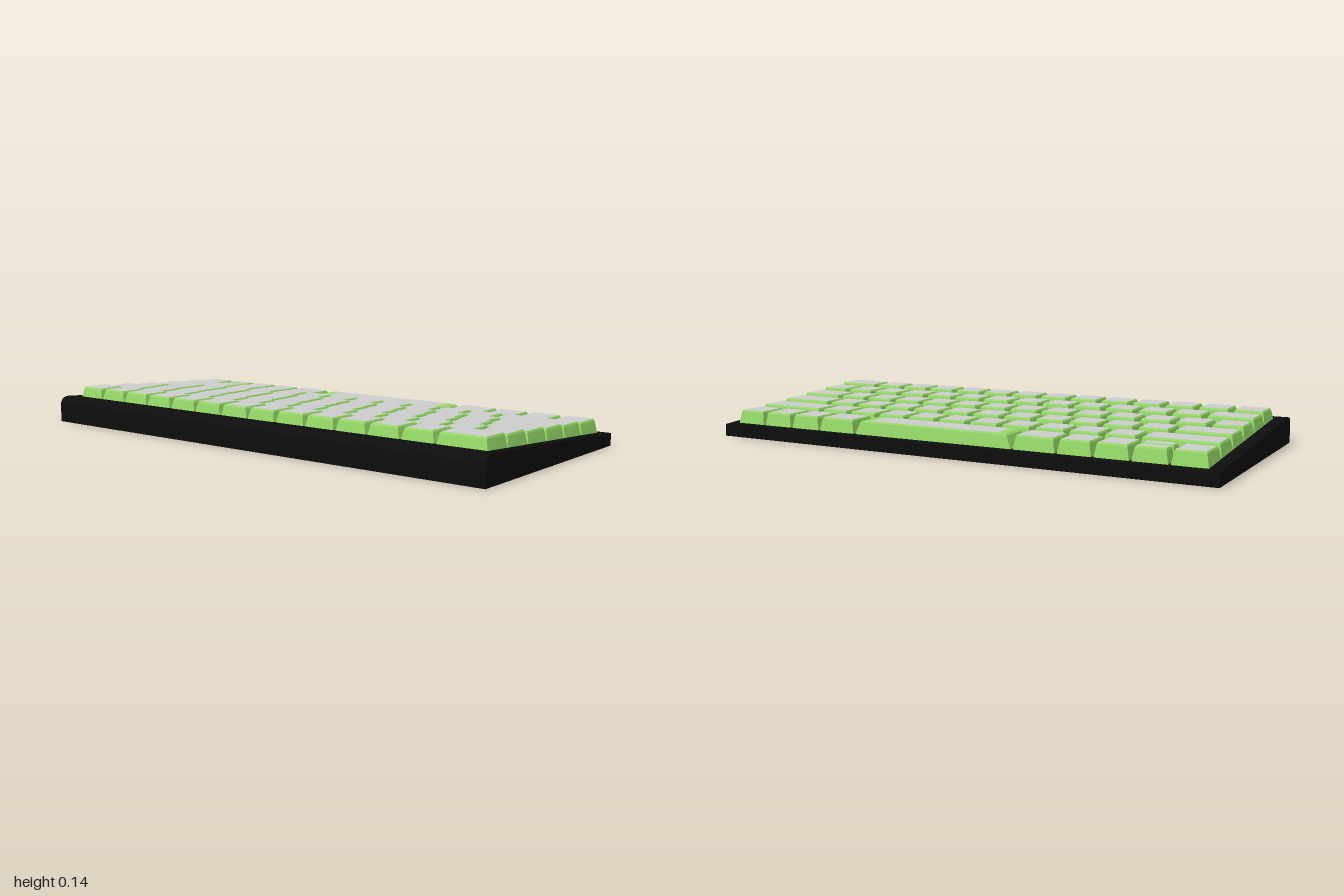
import * as THREE from 'three';

const green = new THREE.MeshStandardMaterial({ color: 0x96d968, flatShading: true });
const grey = new THREE.MeshStandardMaterial({ color: 0xcccccc });
const black = new THREE.MeshStandardMaterial({ color: 0x0d0d0d });

const UNIT = 0.1332, START = -0.957, GAP = 0.008;
const deckY = (x) => 0.0755 - 0.0645 * x; // sloping top of the case

const ones = (n) => Array(n).fill(1);
// Each row: x extent, top height and key widths in units, from -z to +z
const rows = [
  { x0: -0.378, x1: -0.252, top: 0.14, keys: [...ones(13), 1.45] },
  { x0: -0.249, x1: -0.121, top: 0.132, keys: [1.45, ...ones(13)] },
  { x0: -0.116, x1: 0.012, top: 0.123, keys: [...ones(13), 1.45] },
  { x0: 0.017, x1: 0.143, top: 0.115, keys: [1.68, ...ones(11), 1.77] },
  { x0: 0.148, x1: 0.276, top: 0.107, keys: [2.2, ...ones(10), 2.25] },
  { x0: 0.281, x1: 0.412, top: 0.1, keys: [...ones(4), 1.25, 4.97, 1.23, ...ones(3)] },
];

// Tapered keycap with a small bevel, its foot following the slope of the case
function makeKey(name, x0, x1, z0, z1, top, endInset = 0.012, shoulder = 0) {
  const key = new THREE.Group();
  key.name = name;
  const cx = (x0 + x1) / 2, cz = (z0 + z1) / 2;
  const hx = (x1 - x0) / 2, hz = (z1 - z0) / 2;
  const geo = new THREE.BoxGeometry(2, 2, 2, 1, 2, 1);
  const p = geo.attributes.position;
  for (let i = 0; i < p.count; i++) {
    const level = Math.round(p.getY(i)) + 1; // 0 foot, 1 bevel start, 2 top
    const f = [0, 0.7, 1][level];
    const x = cx + p.getX(i) * (hx - 0.011 * f);
    const z = cz + p.getZ(i) * (hz - endInset * f);
    const y = [deckY(x) - 0.002, top - 0.006, top][level];
    p.setXYZ(i, x, y, z);
  }
  geo.computeVertexNormals();
  const cap = new THREE.Mesh(geo, green);
  cap.name = 'keycap';

  const face = new THREE.Mesh(
    new THREE.PlaneGeometry(2 * (hx - 0.012), 2 * (hz - endInset - shoulder - 0.001)).rotateX(-Math.PI / 2), grey);
  face.position.set(cx, top + 0.0007, cz);
  face.name = 'keyTop';
  key.add(cap, face);
  return key;
}

// Wedge-shaped case with a rounded rear edge
function makeCase() {
  const s = new THREE.Shape();
  s.moveTo(-0.451, 0);
  s.lineTo(0.451, 0);
  s.lineTo(0.451, deckY(0.451));
  s.lineTo(-0.405, deckY(-0.405));
  s.bezierCurveTo(-0.43, 0.105, -0.451, 0.094, -0.451, 0.068);
  s.closePath();
  const geo = new THREE.ExtrudeGeometry(s, { depth: 2, bevelEnabled: false, curveSegments: 8 });
  geo.translate(0, 0, -1);
  const mesh = new THREE.Mesh(geo, black);
  mesh.name = 'case';
  return mesh;
}

export function createModel() {
  const model = new THREE.Group();
  model.name = 'keyboard';
  model.add(makeCase());

  rows.forEach(({ x0, x1, top, keys }, r) => {
    const row = new THREE.Group();
    row.name = `keyRow${r + 1}`;
    let z = START;
    keys.forEach((w, k) => {
      const z0 = z + GAP / 2;
      z += w * UNIT;
      const z1 = z - GAP / 2;
      if (r === 5 && k === 1) {
        // Pair of half-depth arrow keys
        const mid = (x0 + x1) / 2;
        row.add(makeKey('upArrowKey', x0, mid - 0.001, z0, z1, top));
        row.add(makeKey('downArrowKey', mid + 0.001, x1, z0, z1, top));
      } else if (w > 4) {
        row.add(makeKey('spaceBar', x0, x1, z0, z1, top, 0.028, 0.032));
      } else {
        row.add(makeKey('key', x0, x1, z0, z1, top));
      }
    });
    model.add(row);
  });
  return model;
}
